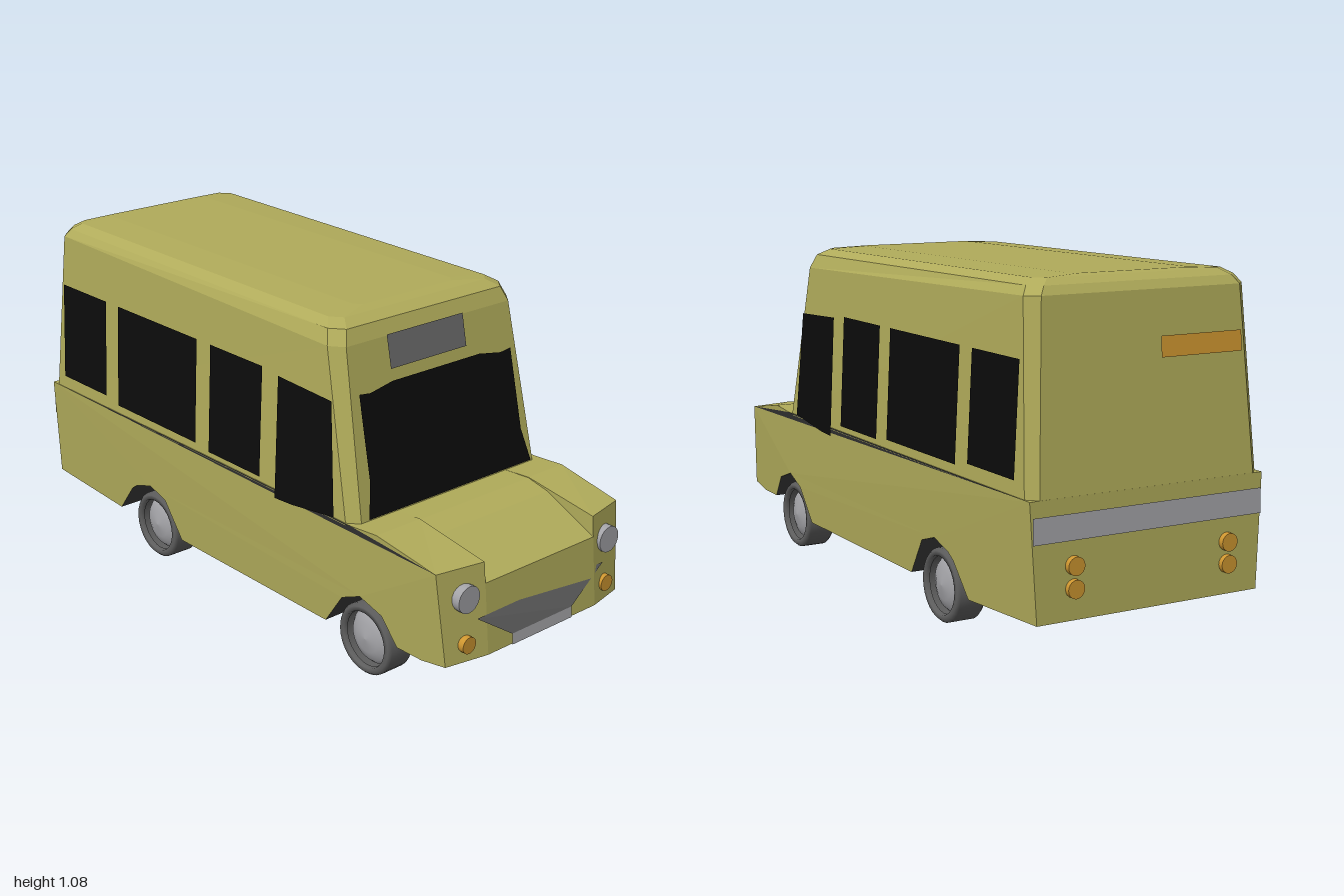
import * as THREE from 'three';

const mat = (name, color, side = THREE.FrontSide) => {
  const m = new THREE.MeshStandardMaterial({ color, side });
  m.name = name;
  return m;
};

// Surface rules shared by the body and the painted details
const BELT = 0.48;
const lerp = THREE.MathUtils.lerp;
const lowerHalf = (y, z) => 0.375 + 0.02 * (y - 0.12) / 0.365 - 0.03 * Math.max(0, z - 0.6);
const sideX = (y) => y < BELT ? lowerHalf(y, 0) : lerp(0.393, 0.368, (y - BELT) / 0.52);
const bulge = (x) => 0.03 * Math.max(0, Math.abs(x) - 0.24) / 0.14;
const noseZ = (x, y) => 1 - 0.1 * (y - 0.17) - bulge(x);
const screenZ = (y) => lerp(0.615, 0.509, (y - BELT) / 0.515);
const rearZ = (y) => y < BELT ? lerp(-0.985, -0.975, (y - 0.14) / 0.34) : lerp(-0.975, -0.928, (y - BELT) / 0.55);

function flatGeometry(positions) {
  const g = new THREE.BufferGeometry();
  g.setAttribute('position', new THREE.Float32BufferAttribute(positions, 3));
  g.computeVertexNormals();
  return g;
}

// Slab of the lower body between two x positions, split into paint and underside
function lowerSlab(profile, x0, x1) {
  const shape = new THREE.Shape(profile.map((p) => new THREE.Vector2(p[0], p[1])));
  const g = new THREE.ExtrudeGeometry(shape, { depth: x1 - x0, bevelEnabled: false });
  const src = g.attributes.position;
  const paint = [], under = [];
  const tri = new THREE.Triangle(), n = new THREE.Vector3();
  const place = (i, out) => {
    const z = src.getX(i), y = src.getY(i);
    let x = x1 - src.getZ(i);
    if (Math.abs(x) > 0.3) x = Math.sign(x) * lowerHalf(y, z);
    return out.set(x, y, z > 0.9 ? z - bulge(x) : z);
  };
  for (let i = 0; i < src.count; i += 3) {
    place(i, tri.a); place(i + 1, tri.b); place(i + 2, tri.c);
    tri.getNormal(n);
    const list = n.y < -0.2 ? under : paint;
    for (const v of [tri.a, tri.b, tri.c]) list.push(v.x, v.y, v.z);
  }
  return [flatGeometry(paint), flatGeometry(under)];
}

// Cabin lofted through chamfered rectangles; tilt raises the rear of a ring
function cabinGeometry() {
  const ring = (y, hw, zf, zr, c, tilt) => [
    [hw - c, zf], [hw, zf - c * 1.2], [hw, zr + c], [hw - c, zr],
    [-hw + c, zr], [-hw, zr + c], [-hw, zf - c * 1.2], [-hw + c, zf],
  ].map(([x, z]) => [x, y + tilt * (zf - z) / (zf - zr), z]);
  const rings = [
    ring(BELT, 0.393, 0.615, -0.975, 0.03, 0),
    ring(0.995, 0.368, 0.509, -0.928, 0.035, 0.035),
    ring(1.04, 0.35, 0.49, -0.912, 0.035, 0.015),
    ring(1.06, 0.318, 0.45, -0.885, 0.03, 0.013),
    ring(1.067, 0.2, 0.41, -0.87, 0.02, 0.012),
  ];
  const p = [];
  for (let r = 0; r < rings.length - 1; r++) {
    const a = rings[r], b = rings[r + 1];
    for (let i = 0; i < 8; i++) {
      const j = (i + 1) % 8;
      p.push(...a[i], ...a[j], ...b[j], ...a[i], ...b[j], ...b[i]);
    }
  }
  const top = rings[rings.length - 1];
  for (let i = 1; i < 7; i++) p.push(...top[0], ...top[i], ...top[i + 1]);
  return flatGeometry(p);
}

// Thin painted face: 2D outline placed on the body by a rule
function plateGeometry(points, rule) {
  const shape = new THREE.Shape(points.map((p) => new THREE.Vector2(p[0], p[1])));
  const g = new THREE.ShapeGeometry(shape).toNonIndexed();
  const pos = g.attributes.position;
  for (let i = 0; i < pos.count; i++) pos.setXYZ(i, ...rule(pos.getX(i), pos.getY(i)));
  g.computeVertexNormals();
  return g;
}
const rect = (u0, u1, v0, v1) => [[u0, v0], [u1, v0], [u1, v1], [u0, v1]];

export function createModel() {
  const group = new THREE.Group();
  const paint = mat('olive yellow paint', 0xb0ab5a);
  const dark = mat('dark underside', 0x3c3c3c, THREE.DoubleSide);
  const glass = mat('black glass', 0x0b0b0b, THREE.DoubleSide);
  const grey = mat('mid grey', 0x6a6a6a, THREE.DoubleSide);
  const silver = mat('light grey', 0xa4a4a8, THREE.DoubleSide);
  const amber = mat('amber', 0xce9630, THREE.DoubleSide);
  const rubber = mat('tyre grey', 0x5e5e5e, THREE.DoubleSide);

  const add = (name, geometry, material, x = 0, y = 0, z = 0) => {
    const m = new THREE.Mesh(geometry, material);
    m.name = name;
    m.position.set(x, y, z);
    group.add(m);
    return m;
  };

  // Lower body: two flanks and a centre with a sunken bonnet
  const sill = [
    [-0.975, 0.485], [-0.985, 0.14], [-0.61, 0.12], [-0.53, 0.22], [-0.5, 0.24], [-0.42, 0.265],
    [-0.34, 0.24], [-0.26, 0.12], [0.47, 0.12], [0.55, 0.23], [0.63, 0.265], [0.72, 0.235],
    [0.78, 0.155], [0.88, 0.155], [1, 0.17],
  ];
  const flank = [...sill, [0.9715, 0.455], [0.71, 0.495], [0.6, 0.487]];
  const centre = [...sill, [0.978, 0.39], [0.79, 0.475], [0.71, 0.493], [0.6, 0.487]];
  const slabs = [['rightFlank', flank, -0.38, -0.22], ['bonnetCentre', centre, -0.22, 0.24], ['leftFlank', flank, 0.24, 0.38]];
  for (const [name, profile, x0, x1] of slabs) {
    const [body, under] = lowerSlab(profile, x0, x1);
    add(name, body, paint);
    add(name + 'Underside', under, dark);
  }
  add('cabin', cabinGeometry(), paint);

  // Side windows
  const windows = [
    [[0.53, 0.49], [0.5, 0.84], [0.26, 0.85], [0.26, 0.46], [0.34, 0.465]],
    rect(-0.07, 0.185, 0.505, 0.86),
    rect(-0.57, -0.14, 0.515, 0.86),
    rect(-0.895, -0.64, 0.53, 0.86),
  ];
  for (const s of [1, -1]) {
    for (const w of windows) {
      add(s > 0 ? 'leftWindow' : 'rightWindow',
        plateGeometry(w, (z, y) => [s * (sideX(y) + 0.005), y, z]), glass);
    }
  }

  // Windscreen and destination panel
  const onScreen = (x, y) => [x, y, screenZ(y) + 0.005];
  add('windscreen', plateGeometry([
    [-0.335, 0.493], [0.35, 0.493], [0.322, 0.6], [0.315, 0.855], [0.27, 0.85], [0.18, 0.865],
    [-0.18, 0.865], [-0.27, 0.85], [-0.312, 0.855], [-0.314, 0.6],
  ], onScreen), glass);
  add('roofPanel', plateGeometry(rect(-0.18, 0.13, 0.9, 1.0), onScreen), grey);

  // Grille and number plate
  const onNose = (x, y) => [x, y, noseZ(x, y) + 0.006];
  add('grille', plateGeometry([[-0.26, 0.295], [-0.125, 0.205], [0.13, 0.205], [0.285, 0.295]], onNose), grey);
  add('frontPlate', plateGeometry(rect(-0.125, 0.13, 0.171, 0.205), onNose), silver);

  // Rear stripe and plate
  const onRear = (x, y) => [x, y, rearZ(y) - 0.005];
  add('rearStripe', plateGeometry(rect(-0.388, 0.388, 0.365, 0.44), onRear), silver);
  add('rearSign', plateGeometry(rect(-0.33, -0.05, 0.84, 0.9), onRear), amber);

  // Lamps
  const lamp = (r, d) => new THREE.CylinderGeometry(r, r, d, 20).rotateX(Math.PI / 2);
  for (const s of [1, -1]) {
    add('headlight', lamp(0.042, 0.03), silver, s * 0.298 + 0.006, 0.365, 0.972);
    add('indicator', lamp(0.026, 0.025), amber, s * 0.295, 0.225, 0.984);
    for (const y of [0.23, 0.295]) add('rearLamp', lamp(0.027, 0.026), amber, s * 0.262 - 0.006, y, -0.985);
  }

  // Wheels: tyre ring with a domed hub recessed on both faces
  const V = (r, h) => new THREE.Vector2(r, h);
  const tyre = new THREE.LatheGeometry(
    [V(0.088, -0.035), V(0.09, -0.05), V(0.105, -0.05), V(0.114, -0.04), V(0.114, 0.04), V(0.105, 0.05), V(0.09, 0.05), V(0.088, 0.035)], 28);
  const hub = new THREE.LatheGeometry(
    [V(0, -0.045), V(0.045, -0.038), V(0.075, -0.025), V(0.089, -0.01), V(0.089, 0.01), V(0.075, 0.025), V(0.045, 0.038), V(0, 0.045)], 28);
  for (const z of [0.63, -0.42]) {
    for (const s of [1, -1]) {
      add('tyre', tyre, rubber, s * 0.315, 0.115, z).rotation.z = -Math.PI / 2;
      add('hub', hub, silver, s * 0.315, 0.115, z).rotation.z = -Math.PI / 2;
    }
  }
  return group;
}
